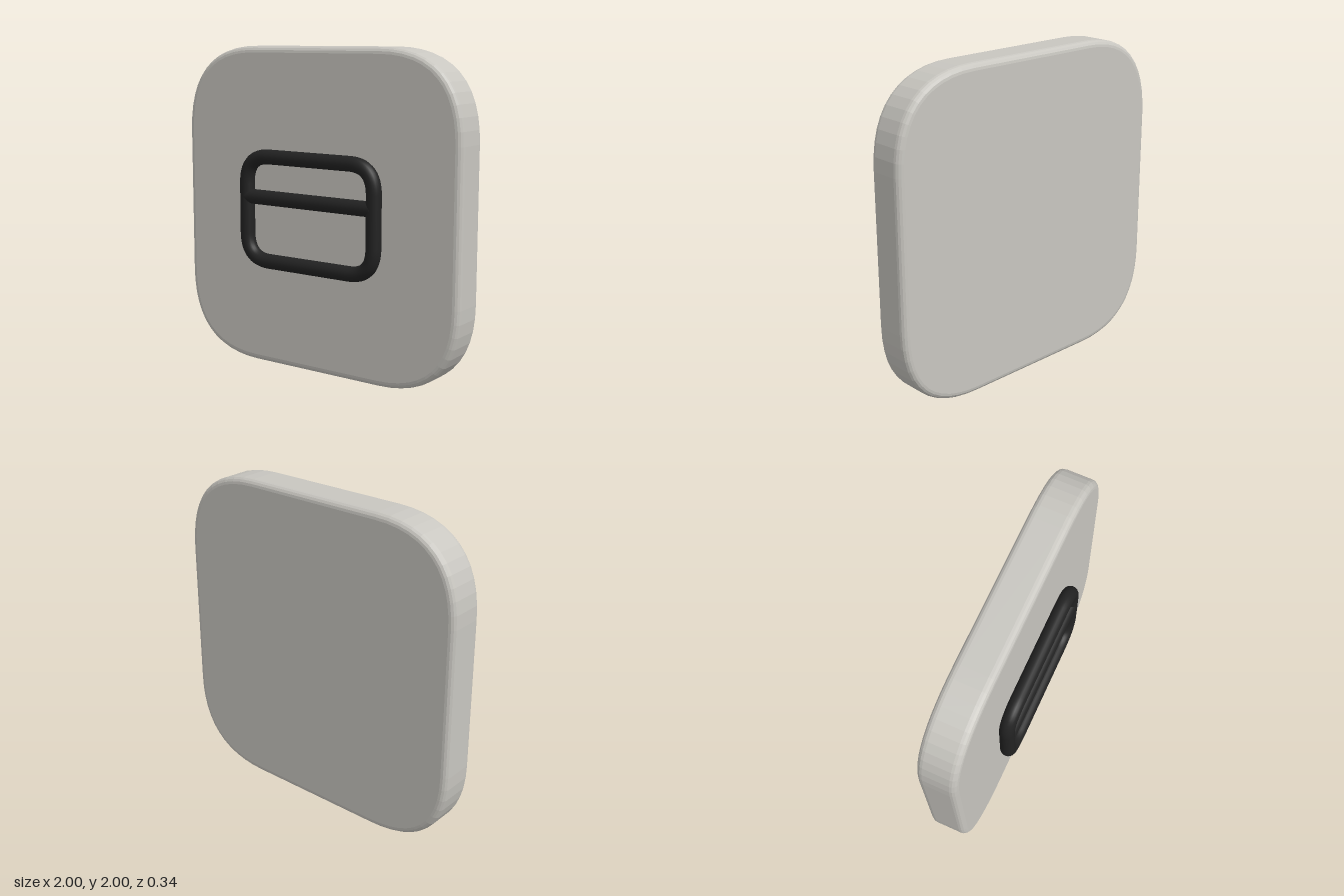
import * as THREE from 'three';

// Rounded rectangle outline centred on the origin
function roundedRect(target, hw, hh, r) {
  target.moveTo(-hw + r, -hh);
  target.lineTo(hw - r, -hh);
  target.quadraticCurveTo(hw, -hh, hw, -hh + r);
  target.lineTo(hw, hh - r);
  target.quadraticCurveTo(hw, hh, hw - r, hh);
  target.lineTo(-hw + r, hh);
  target.quadraticCurveTo(-hw, hh, -hw, hh - r);
  target.lineTo(-hw, -hh + r);
  target.quadraticCurveTo(-hw, -hh, -hw + r, -hh);
  return target;
}

// Places a 2D path in space as a 3D curve
class FlatCurve extends THREE.Curve {
  constructor(path) {
    super();
    this.path = path;
  }
  getPoint(t, target = new THREE.Vector3()) {
    const p = this.path.getPointAt(t % 1);
    return target.set(p.x, p.y, 0);
  }
}

export function createModel() {
  const model = new THREE.Group();
  model.name = 'roundedTile';

  const stone = new THREE.MeshStandardMaterial({ color: 0xc8c6c0 });
  stone.name = 'warm grey';
  const black = new THREE.MeshStandardMaterial({ color: 0x222222 });
  black.name = 'black';

  function add(name, geometry, material, x, y, z) {
    const mesh = new THREE.Mesh(geometry, material);
    mesh.name = name;
    mesh.position.set(x, y, z);
    model.add(mesh);
    return mesh;
  }

  // Slab with soft corners and a rounded rim
  const bevel = 0.04;
  const slab = new THREE.ExtrudeGeometry(
    roundedRect(new THREE.Shape(), 1 - bevel, 1 - bevel, 0.5),
    { depth: 0.24 - 2 * bevel, bevelEnabled: true, bevelThickness: bevel, bevelSize: bevel, bevelSegments: 4, curveSegments: 12 }
  );
  add('slab', slab, stone, 0, 1, -0.17 + bevel);

  // Raised round-section frame
  const tube = 0.046;
  const path = roundedRect(new THREE.Path(), 0.469, 0.326, 0.17);
  path.arcLengthDivisions = 400;
  const frame = new THREE.TubeGeometry(new FlatCurve(path), 160, tube, 20, true);
  add('frame', frame, black, 0, 1.004, 0.124);

  // Crossbar joining the two sides of the frame
  const bar = new THREE.CylinderGeometry(tube, tube, 0.93, 20);
  bar.rotateZ(Math.PI / 2);
  add('crossbar', bar, black, 0, 1.076, 0.124);

  return model;
}
